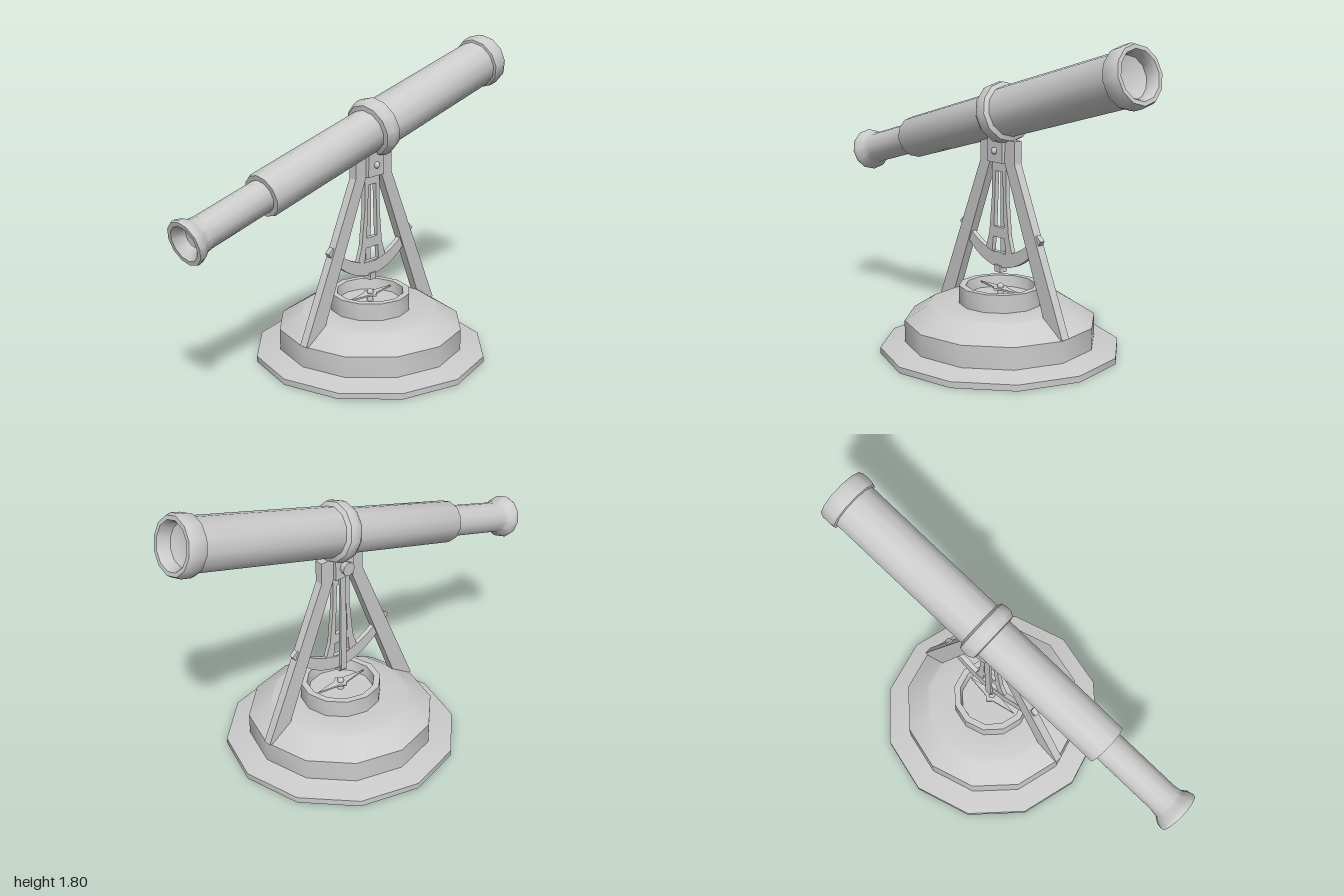
import * as THREE from 'three';
import { toCreasedNormals } from 'three/addons/utils/BufferGeometryUtils.js';

const rad = THREE.MathUtils.degToRad;
const material = new THREE.MeshStandardMaterial({ color: 0xcccccc, side: THREE.DoubleSide });

function add(parent, name, geometry, x = 0, y = 0, z = 0) {
  const mesh = new THREE.Mesh(geometry, material);
  mesh.name = name;
  mesh.position.set(x, y, z);
  parent.add(mesh);
  return mesh;
}

// Twelve-sided turned part from [radius, height] pairs, smooth around and sharp at the steps
function turned(points, phiStart = 0) {
  const profile = points.map(([r, y]) => new THREE.Vector2(r, y));
  return toCreasedNormals(new THREE.LatheGeometry(profile, 12, phiStart), rad(38));
}

// Flat plate of a given thickness, centred on z = 0
function plate(shape, depth) {
  const g = new THREE.ExtrudeGeometry(shape, { depth, bevelEnabled: false, curveSegments: 14 });
  return g.translate(0, 0, -depth / 2);
}

const polygon = pts => new THREE.Shape(pts.map(([x, y]) => new THREE.Vector2(x, y)));

export function createModel() {
  const model = new THREE.Group();
  model.name = 'telescopeOnStand';

  // Stepped base with a hollow compass bowl on top
  add(model, 'base', turned([
    [0, 0], [0.69, 0], [0.69, 0.035], [0.55, 0.065], [0.55, 0.19], [0.42, 0.275], [0.405, 0.282],
    [0.238, 0.282], [0.238, 0.385], [0.2, 0.385], [0.19, 0.32], [0, 0.32],
  ], rad(10)), 0.11, 0, -0.08);

  // Everything above the base is turned towards the telescope's heading
  const upper = new THREE.Group();
  upper.name = 'upperAssembly';
  upper.position.set(0.11, 0, -0.08);
  upper.rotation.y = rad(41.5);
  model.add(upper);

  // Compass needle on its pivot
  const needle = polygon([[-0.18, 0], [-0.03, -0.025], [0, -0.05], [0.03, -0.025],
    [0.18, 0], [0.03, 0.025], [0, 0.05], [-0.03, 0.025]]);
  add(upper, 'compassNeedle', plate(needle, 0.01), 0, 0.362, 0).rotation.x = -Math.PI / 2;
  add(upper, 'compassPivot', new THREE.CylinderGeometry(0.012, 0.02, 0.06, 8), 0, 0.345, 0);
  add(upper, 'pivotKnob', new THREE.SphereGeometry(0.02, 10, 8), 0, 0.373, 0);

  // A-frame legs
  for (const side of [-1, 1]) {
    const leg = polygon([[0.055, 1.12], [0.14, 1.12], [0.555, 0.195], [0.435, 0.195]]
      .map(([x, y]) => [x * side, y]));
    add(upper, side < 0 ? 'legRear' : 'legFront', plate(leg, 0.05));
  }

  // Head block with pivot bolt and nut
  add(upper, 'head', new THREE.BoxGeometry(0.3, 0.13, 0.05), 0, 1.16, 0);
  add(upper, 'headClamp', new THREE.BoxGeometry(0.13, 0.14, 0.09), 0, 1.165, 0);
  add(upper, 'pivotBolt', new THREE.SphereGeometry(0.02, 10, 8), 0, 1.16, 0.047);
  add(upper, 'pivotNut', new THREE.CylinderGeometry(0.035, 0.042, 0.04, 8), 0, 1.16, -0.062)
    .rotation.x = Math.PI / 2;

  // Hanging quadrant: flared tongue with slots
  const tongue = polygon([[-0.06, 1.1], [-0.062, 0.9], [-0.085, 0.68], [-0.13, 0.54],
    [0.13, 0.54], [0.085, 0.68], [0.062, 0.9], [0.06, 1.1]]);
  tongue.holes.push(
    polygon([[-0.03, 1.04], [0.03, 1.04], [0.045, 0.72], [-0.045, 0.72]]),
    polygon([[-0.05, 0.66], [0.05, 0.66], [0.06, 0.575], [-0.06, 0.575]]));
  add(upper, 'quadrantTongue', plate(tongue, 0.026));

  // Hanging quadrant: curved scale, widest at the middle
  const scale = new THREE.Shape();
  scale.moveTo(-0.36, 0.7);
  scale.quadraticCurveTo(-0.22, 0.5, 0, 0.485);
  scale.quadraticCurveTo(0.22, 0.5, 0.36, 0.7);
  scale.lineTo(0.325, 0.73);
  scale.quadraticCurveTo(0.2, 0.585, 0, 0.565);
  scale.quadraticCurveTo(-0.2, 0.585, -0.325, 0.73);
  add(upper, 'quadrantScale', plate(scale, 0.03));

  // Plumb arm behind the quadrant, with its pointer tip
  add(upper, 'plumbArm', new THREE.BoxGeometry(0.04, 0.66, 0.016), 0, 0.8, -0.024);
  add(upper, 'plumbTip', new THREE.BoxGeometry(0.05, 0.04, 0.05), 0, 0.48, 0);

  // Telescope, built along y and tilted up by 15 degrees
  const telescope = new THREE.Group();
  telescope.name = 'telescope';
  telescope.position.y = 1.366;
  telescope.rotation.z = rad(15 - 90);
  upper.add(telescope);

  add(telescope, 'eyepiece', turned([
    [0, -1.33], [0.055, -1.345], [0.075, -1.38], [0.1, -1.405], [0.125, -1.405], [0.13, -1.39],
    [0.125, -1.365], [0.1, -1.33], [0.093, -1.28], [0.093, -0.85],
  ]));
  add(telescope, 'middleTube', turned([
    [0.09, -0.87], [0.122, -0.87], [0.126, -0.86], [0.128, 0.02],
  ]));
  add(telescope, 'collar', turned([
    [0.125, -0.035], [0.155, -0.03], [0.172, -0.005], [0.175, 0.03], [0.168, 0.06], [0.14, 0.075],
  ]));
  add(telescope, 'mainTube', turned([[0.143, 0.04], [0.143, 1.02]]));
  add(telescope, 'objectiveCap', turned([
    [0.14, 0.985], [0.158, 0.99], [0.163, 1.01], [0.163, 1.065], [0.152, 1.09], [0.13, 1.09],
    [0.118, 1.07], [0.113, 1.02], [0.07, 1.005], [0, 1.0],
  ]));

  return model;
}
